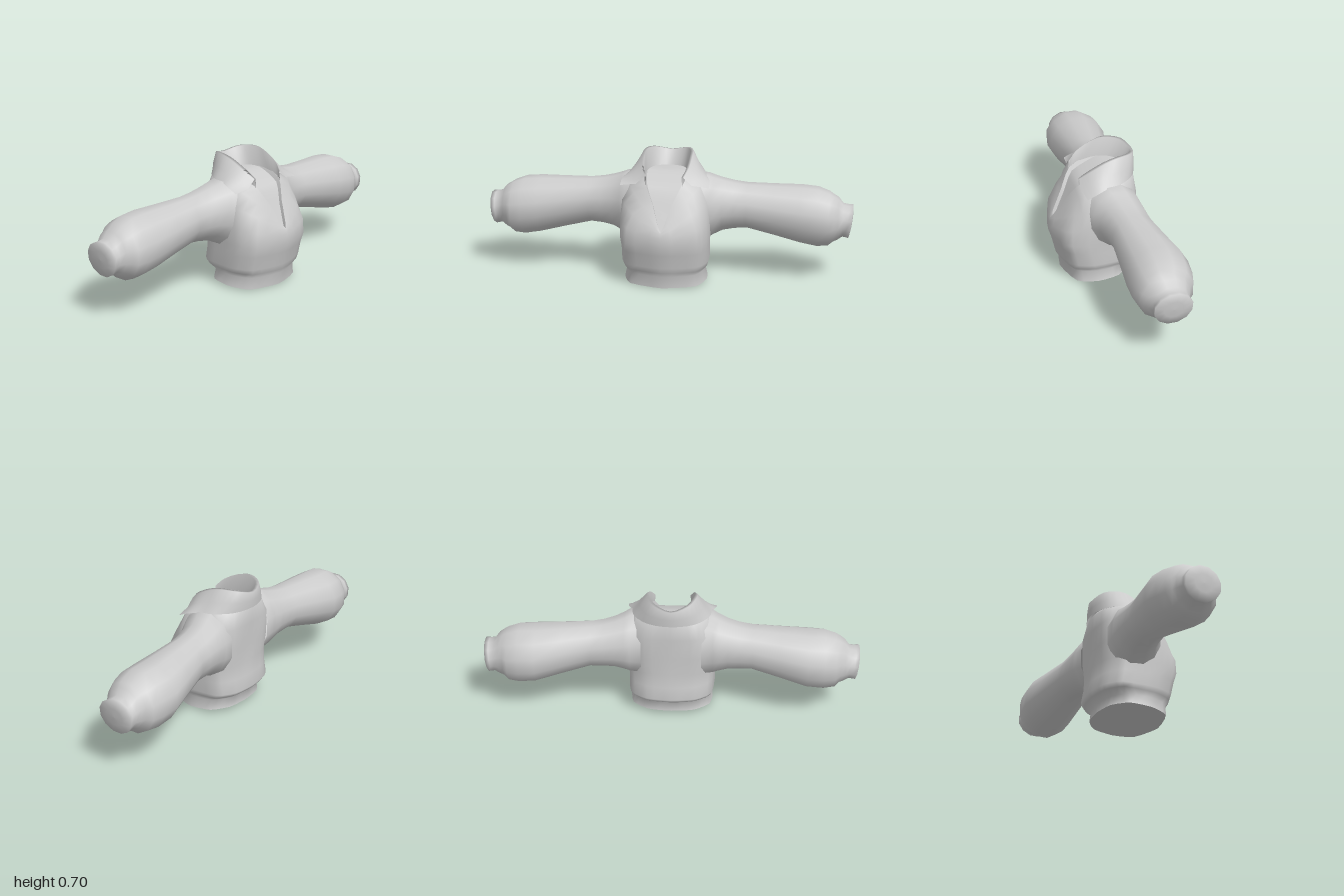
import * as THREE from 'three';

const cloth = new THREE.MeshStandardMaterial({ color: 0xcccccc, side: THREE.DoubleSide });
cloth.name = 'light grey cloth';

// Skin between cross-sections with equal point counts
function loft(name, rings, closed = true) {
  const n = rings[0].length, index = [];
  for (let r = 0; r < rings.length - 1; r++) {
    for (let i = 0; i < (closed ? n : n - 1); i++) {
      const j = (i + 1) % n, a = r * n, b = a + n;
      index.push(a + i, a + j, b + i, a + j, b + j, b + i);
    }
  }
  const geo = new THREE.BufferGeometry();
  geo.setAttribute('position', new THREE.Float32BufferAttribute(rings.flat(2), 3));
  geo.setIndex(index);
  geo.computeVertexNormals();
  const mesh = new THREE.Mesh(geo, cloth);
  mesh.name = name;
  return mesh;
}

const flip = ([x, y, z]) => [x, y, -z];

function smooth(points, closed, count, tension) {
  const pts = points.map(p => new THREE.Vector3(...p));
  return new THREE.CatmullRomCurve3(pts, closed, 'catmullrom', tension)
    .getPoints(count).map(p => p.toArray());
}

// Mirror a half outline (front to back) across z and smooth it into a closed ring
function fullRing(half) {
  const pts = [...half, ...half.slice(1, -1).reverse().map(flip)];
  return smooth(pts, true, pts.length * 3, 0.3).slice(0, -1);
}

// Mirror a half row (back to front) into one smooth open row
function fullRow(half) {
  return smooth([...half.slice(1).reverse().map(flip), ...half], false, 30, 0.5);
}

// Torso outline: back and front x, back and front y, half width
function torsoHalf(back, front, yBack, yFront, w) {
  const pts = [[front, 0], [front - 0.05, 0.79], [front - 0.16, 1],
    [back + 0.085, 0.93], [back + 0.017, 0.55], [back, 0]];
  return pts.map(([x, k]) => [x, yBack + (yFront - yBack) * (x - back) / (front - back), k * w]);
}

// Close a mirrored ring by spanning straight across from side to side
function panel(name, ring) {
  const n = ring.length, half = ring.slice(0, n / 2 + 1);
  return loft(name, [half, half.map((_, i) => ring[(n - i) % n])], false);
}

export function createModel() {
  const model = new THREE.Group();
  model.name = 'shirt';

  // Torso, from hem up to the open V neck
  const neck = [[0.249, 0.33, 0], [0.178, 0.46, 0.05], [0.117, 0.56, 0.098],
    [-0.02, 0.615, 0.12], [-0.13, 0.62, 0.08], [-0.165, 0.62, 0]];
  const halves = [
    torsoHalf(-0.16, 0.205, 0.028, 0.005, 0.225),
    torsoHalf(-0.155, 0.21, 0.08, 0.07, 0.212),
    torsoHalf(-0.193, 0.225, 0.108, 0.095, 0.228),
    torsoHalf(-0.208, 0.233, 0.13, 0.125, 0.236),
    torsoHalf(-0.195, 0.25, 0.2, 0.2, 0.236),
    torsoHalf(-0.19, 0.266, 0.28, 0.25, 0.242),
    [[0.262, 0.3, 0], [0.215, 0.335, 0.185], [0.1, 0.36, 0.24],
      [-0.11, 0.38, 0.235], [-0.183, 0.38, 0.14], [-0.19, 0.38, 0]],
    [[0.256, 0.32, 0], [0.193, 0.41, 0.155], [0.1, 0.46, 0.228],
      [-0.11, 0.5, 0.235], [-0.183, 0.5, 0.14], [-0.192, 0.5, 0]],
    [[0.252, 0.328, 0], [0.183, 0.45, 0.1], [0.108, 0.535, 0.18],
      [-0.07, 0.588, 0.2], [-0.168, 0.587, 0.12], [-0.194, 0.583, 0]],
    neck,
  ];
  const rings = halves.map(fullRing);
  model.add(loft('torso', rings));
  model.add(panel('hemBase', rings[0]));

  // Recessed panel inside the neck, with its rim
  const inner = fullRing(neck.map(([x, y, z]) => [x - 0.012, y - 0.02, z * 0.92]));
  model.add(loft('neckRim', [rings[rings.length - 1], inner]));
  model.add(panel('neckPanel', inner));

  // Sleeve sections: z, back x, front x, bottom y, top y
  const sections = [
    [0.16, -0.182, 0.13, 0.215, 0.59], [0.22, -0.188, 0.105, 0.235, 0.583],
    [0.25, -0.19, 0.085, 0.252, 0.57], [0.3, -0.191, 0.06, 0.274, 0.552],
    [0.36, -0.194, 0.045, 0.284, 0.537], [0.43, -0.198, 0.036, 0.288, 0.527],
    [0.58, -0.232, 0.045, 0.25, 0.521], [0.72, -0.265, 0.055, 0.212, 0.517],
    [0.81, -0.255, 0.055, 0.197, 0.511], [0.87, -0.238, 0.045, 0.203, 0.49],
    [0.895, -0.215, 0.03, 0.225, 0.475], [0.92, -0.205, 0.012, 0.235, 0.46],
    [0.945, -0.192, -0.006, 0.252, 0.428], [0.968, -0.193, -0.004, 0.25, 0.422],
    [0.988, -0.193, 0, 0.246, 0.424], [0.994, -0.145, -0.047, 0.29, 0.38],
    [0.996, -0.096, -0.096, 0.335, 0.335],
  ];
  const sides = 12;
  for (const s of [1, -1]) {
    const sleeve = sections.map(([z, x0, x1, y0, y1]) =>
      Array.from({ length: sides }, (_, i) => {
        const a = s * (i + 0.5) / sides * Math.PI * 2, k = 1 / Math.cos(Math.PI / sides);
        const y = (y0 + y1) / 2 + k * Math.sin(a) * (y1 - y0) / 2;
        // The wrist opening leans outward at the top
        const lean = z > 0.96 ? 0.12 * (y - 0.335) : 0;
        return [(x0 + x1) / 2 + k * Math.cos(a) * (x1 - x0) / 2, y, s * (z + lean)];
      }));
    model.add(loft(s > 0 ? 'rightSleeve' : 'leftSleeve', sleeve));
  }

  // Folded collar rows, back to front: inner edge, top fold, falling leaf, outer edge
  const collarInner = [[-0.145, 0.6, 0], [-0.115, 0.6, 0.075], [-0.03, 0.6, 0.108],
    [0.05, 0.585, 0.11], [0.1, 0.565, 0.105], [0.125, 0.55, 0.098]];
  const collarFold = [[-0.203, 0.677, 0], [-0.17, 0.697, 0.09], [-0.09, 0.703, 0.13],
    [-0.02, 0.685, 0.135], [0.06, 0.642, 0.128], [0.12, 0.597, 0.105]];
  const collarTop = collarFold.map(([x, y, z]) => [x + (x < 0.1 ? 0.015 : 0), y, z * 0.9]);
  const collarLeaf = [[-0.204, 0.63, 0], [-0.172, 0.638, 0.11], [-0.09, 0.637, 0.163],
    [-0.015, 0.627, 0.175], [0.058, 0.6, 0.175], [0.12, 0.556, 0.15]];
  const collarFall = [[-0.202, 0.59, 0], [-0.17, 0.588, 0.12], [-0.09, 0.586, 0.195],
    [-0.01, 0.58, 0.215], [0.05, 0.568, 0.235], [0.11, 0.543, 0.238]];
  model.add(loft('collar',
    [collarInner, collarTop, collarFold, collarLeaf, collarFall].map(fullRow), false));

  return model;
}
